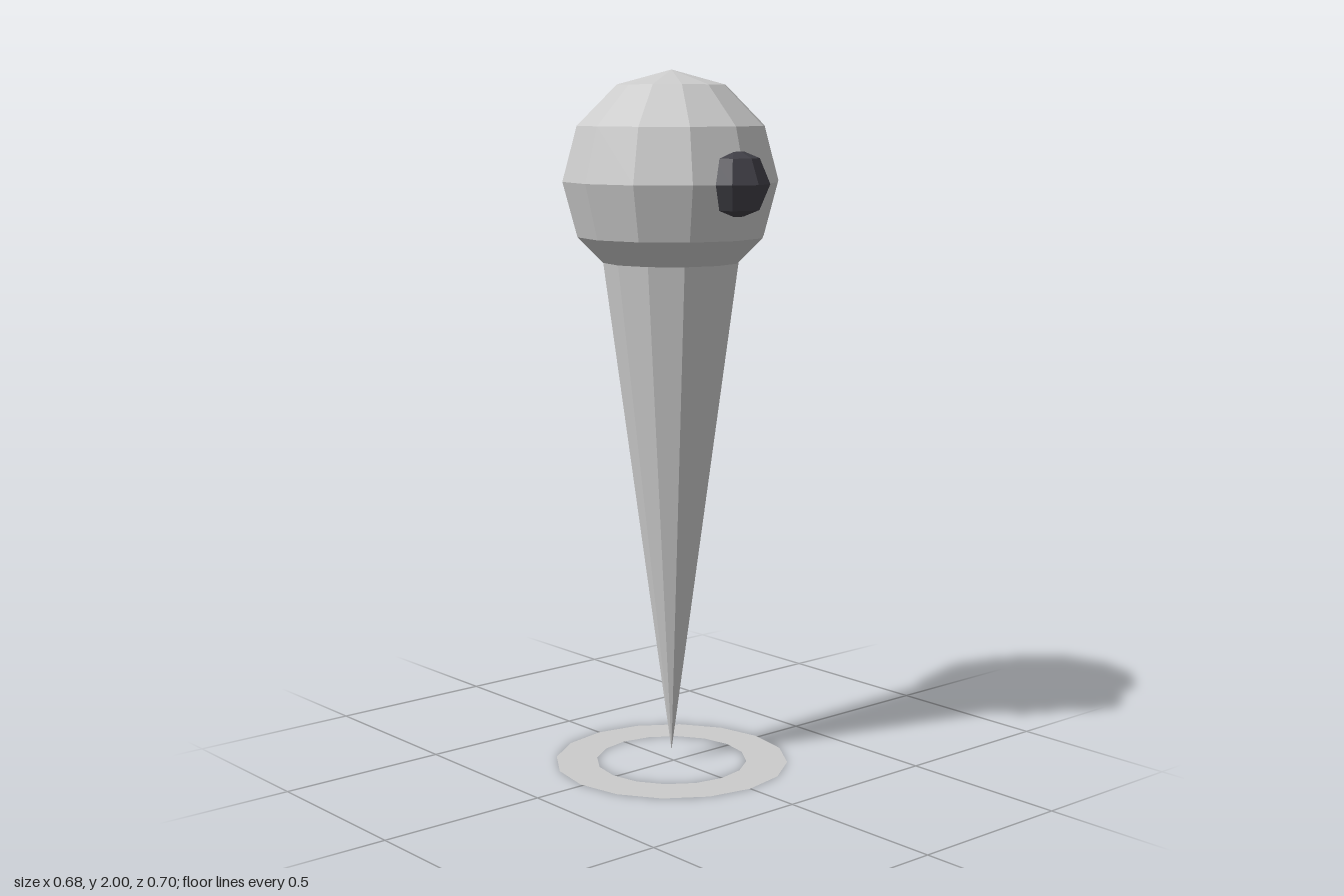
import * as THREE from 'three';

const CENTRE_Z = -0.01; // shared vertical axis of pin and ground ring
const HEAD_Y = 1.691;
const HEAD_R = 0.309;
const TIP_Y = 0.03;

export function createModel() {
  const model = new THREE.Group();
  model.name = 'mapPin';

  const grey = new THREE.MeshStandardMaterial({ color: 0xcccccc, flatShading: true });
  const greyThin = new THREE.MeshStandardMaterial({ color: 0xcccccc, flatShading: true, side: THREE.DoubleSide });
  const dark = new THREE.MeshStandardMaterial({ color: 0x414047, flatShading: true });

  const add = (name, geometry, material, y, z = CENTRE_Z) => {
    const mesh = new THREE.Mesh(geometry, material);
    mesh.name = name;
    mesh.position.set(0, y, z);
    model.add(mesh);
  };

  // Faceted ball head
  add('head', new THREE.SphereGeometry(HEAD_R, 12, 6), grey, HEAD_Y);

  // Long spike pointing down, its wide end tucked into the head
  const spikeHeight = 1.47;
  const spike = new THREE.ConeGeometry(0.2, spikeHeight, 12).rotateX(Math.PI);
  add('spike', spike, grey, TIP_Y + spikeHeight / 2);

  // Small dark knob half sunk in the front of the head
  add('frontKnob', new THREE.SphereGeometry(0.099, 8, 4), dark, HEAD_Y, 0.25);

  // Flat ring on the ground around the tip
  const ring = new THREE.RingGeometry(0.22, 0.34, 16).rotateX(-Math.PI / 2);
  add('groundRing', ring, greyThin, 0);

  return model;
}
